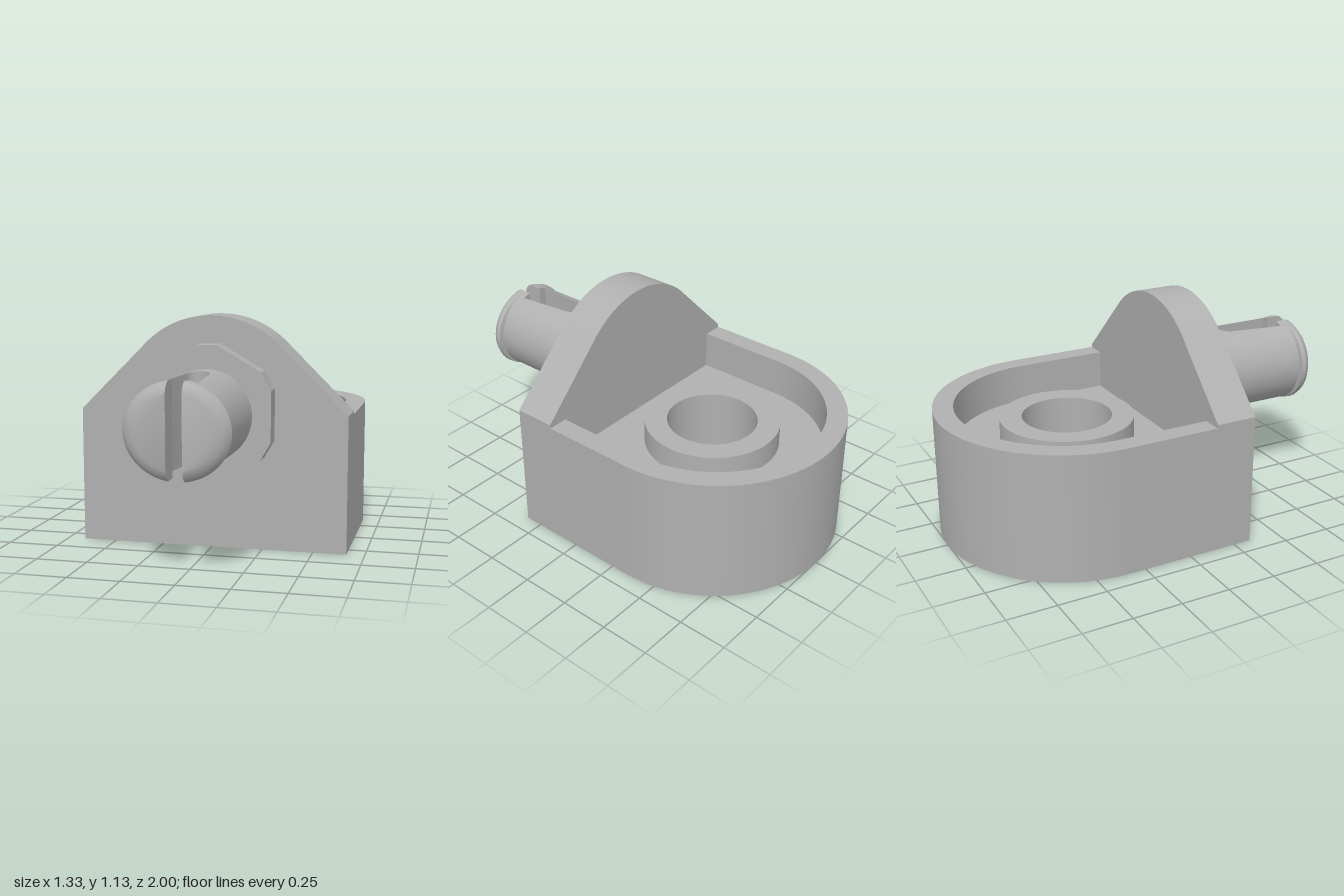
import * as THREE from 'three';
import { toCreasedNormals, mergeVertices } from 'three/addons/utils/BufferGeometryUtils.js';

const grey = new THREE.MeshStandardMaterial({ color: 0xb0b0b0 });
grey.name = 'grey plastic';

const PIVOT_Z = -0.34;  // centre of the rounded back and the bore
const PIN_Y = 0.667;    // height of the pin axis
const WALL_END = 0.13;  // back of the front plate
const FRONT = 0.34;     // face of the front plate

function part(name, geometry) {
  const mesh = new THREE.Mesh(toCreasedNormals(geometry, 0.5), grey);
  mesh.name = name;
  return mesh;
}

// Extrude a plan shape (x, -z) upwards between two heights
function upright(name, shape, y0, y1) {
  const geo = new THREE.ExtrudeGeometry(shape, { depth: y1 - y0, bevelEnabled: false, curveSegments: 48 });
  geo.rotateX(-Math.PI / 2).translate(0, y0, 0);
  return part(name, geo);
}

// Extrude a front outline (x, y) forwards between two depths
function forward(name, shape, z0, z1) {
  const geo = new THREE.ExtrudeGeometry(shape, { depth: z1 - z0, bevelEnabled: false, curveSegments: 32 });
  geo.translate(0, 0, z0);
  return part(name, geo);
}

function circlePath(r) {
  return new THREE.Path().absarc(0, -PIVOT_Z, r, 0, Math.PI * 2, true);
}

// Solid arch outline of the given radius
function archShape(r) {
  return new THREE.Shape()
    .moveTo(-r, -WALL_END).lineTo(r, -WALL_END)
    .lineTo(r, -PIVOT_Z).absarc(0, -PIVOT_Z, r, 0, Math.PI, false);
}

// One half of the split pin: circle segments with x beyond the slot, lofted along z
function pinHalf() {
  // [z, radius, half slot width, sideways stretch]
  const stations = [
    [0.43, 0.22, 0, 1], [0.54, 0.22, 0, 1], [0.545, 0.22, 0.022, 1], [0.555, 0.22, 0.038, 1],
    [0.57, 0.22, 0.049, 1], [0.59, 0.22, 0.055, 1], [0.89, 0.22, 0.08, 1], [0.89, 0.22, 0.037, 1],
    [0.925, 0.22, 0.037, 1], [0.93, 0.222, 0.037, 1.09], [0.95, 0.223, 0.037, 1.1],
    [0.97, 0.216, 0.037, 1.09], [0.99, 0.196, 0.037, 1.08], [1.0, 0.17, 0.037, 1.06],
  ];
  const N = 32;
  const pos = [], index = [];
  for (const [z, r, w, sx] of stations) {
    const a = Math.acos(w / (r * sx));
    for (let i = 0; i <= N; i++) {
      const t = -a + (2 * a * i) / N;
      pos.push(r * sx * Math.cos(t), r * Math.sin(t), z);
    }
  }
  const row = N + 1;
  for (let s = 0; s < stations.length - 1; s++) {
    for (let i = 0; i < row; i++) {
      const j = (i + 1) % row;
      const a = s * row + i, b = s * row + j;
      index.push(a, b, b + row, a, b + row, a + row);
    }
  }
  // Tip cap
  const last = (stations.length - 1) * row;
  for (let i = 1; i < N; i++) index.push(last, last + i, last + i + 1);
  const geo = new THREE.BufferGeometry();
  geo.setAttribute('position', new THREE.Float32BufferAttribute(pos, 3));
  geo.setIndex(index);
  return mergeVertices(geo);
}

export function createModel() {
  const model = new THREE.Group();
  model.name = 'pivotBracket';

  // Curved wall round the back
  const R = 0.663, r = 0.56;
  const wall = new THREE.Shape()
    .moveTo(R, -WALL_END).lineTo(R, -PIVOT_Z)
    .absarc(0, -PIVOT_Z, R, 0, Math.PI, false)
    .lineTo(-R, -WALL_END).lineTo(-r, -WALL_END).lineTo(-r, -PIVOT_Z)
    .absarc(0, -PIVOT_Z, r, Math.PI, 0, true)
    .lineTo(r, -WALL_END);
  model.add(upright('curvedWall', wall, 0, 0.65));

  // Web halfway up the wall, carrying the bored hub
  const web = archShape(r);
  web.holes.push(circlePath(0.335));
  model.add(upright('web', web, 0.2, 0.45));

  const hub = new THREE.Shape().absarc(0, -PIVOT_Z, 0.338, 0, Math.PI * 2, false);
  hub.holes.push(circlePath(0.226));
  model.add(upright('hub', hub, 0.08, 0.57));

  // Front plate with sloping shoulders and rounded top
  const plate = new THREE.Shape()
    .moveTo(-R, 0).lineTo(R, 0).lineTo(R, 0.667)
    .absarc(0, PIN_Y, 0.468, Math.PI / 4, Math.PI * 0.75, false)
    .lineTo(-R, 0.667);
  model.add(forward('frontPlate', plate, WALL_END, FRONT));

  // Hexagonal collar with clipped corners
  const quarter = [[0.31, 0.123], [0.26, 0.21], [0.048, 0.333]];
  const flipped = quarter.slice().reverse();
  const collar = new THREE.Shape([
    ...quarter.map(([x, y]) => new THREE.Vector2(x, PIN_Y + y)),
    ...flipped.map(([x, y]) => new THREE.Vector2(-x, PIN_Y + y)),
    ...quarter.map(([x, y]) => new THREE.Vector2(-x, PIN_Y - y)),
    ...flipped.map(([x, y]) => new THREE.Vector2(x, PIN_Y - y)),
  ]);
  model.add(forward('collar', collar, FRONT, 0.437));

  // Split snap pin
  const pin = new THREE.Group();
  pin.name = 'snapPin';
  pin.position.y = PIN_Y;
  ['pinHalfLeft', 'pinHalfRight'].forEach((name, i) => {
    const half = part(name, pinHalf());
    half.rotation.z = i * Math.PI;
    pin.add(half);
  });
  model.add(pin);

  return model;
}
